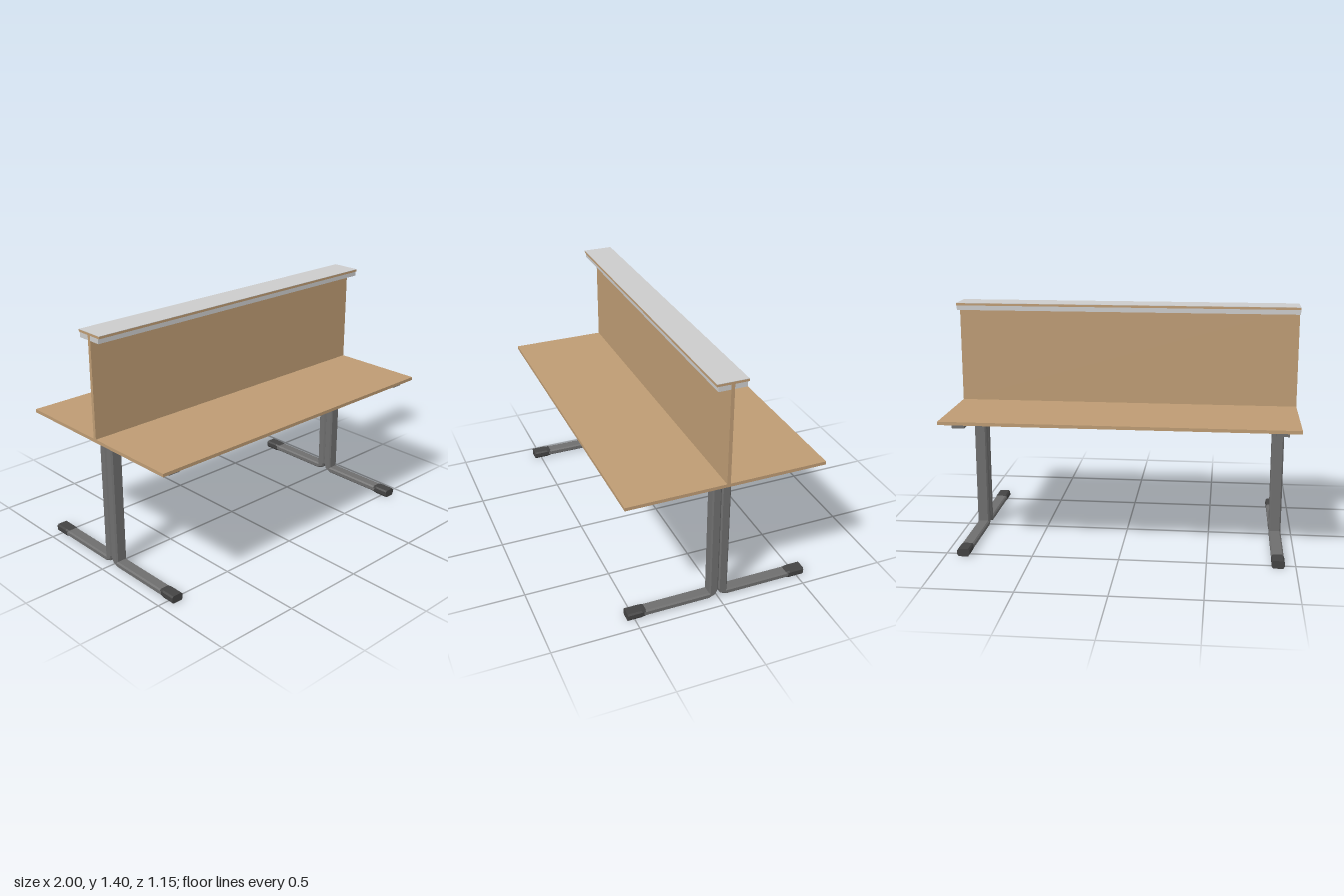
import * as THREE from 'three';

const mat = (color) => new THREE.MeshStandardMaterial({ color, flatShading: true });

export function createModel() {
  const root = new THREE.Group();
  root.name = 'dividedBenchDesk';
  const wood = mat(0xbd9b73), grey = mat(0xcccccc), steel = mat(0x6e6e6e), dark = mat(0x434343);

  const add = (parent, name, geometry, material) => {
    const mesh = new THREE.Mesh(geometry, material);
    mesh.name = name;
    parent.add(mesh);
    return mesh;
  };
  // Box given by its width, y range and z range
  const slab = (parent, name, w, y0, y1, z0, z1, material) => {
    const g = new THREE.BoxGeometry(w, y1 - y0, z1 - z0);
    g.translate(0, (y0 + y1) / 2, (z0 + z1) / 2);
    return add(parent, name, g, material);
  };
  const outline = (pts) => new THREE.Shape(pts.map(([x, y]) => new THREE.Vector2(x, y)));

  // Worktop, upright divider and the shelf on top of it
  slab(root, 'worktop', 2, 0.786, 0.805, -0.575, 0.575, wood);
  slab(root, 'dividerPanel', 2, 0.805, 1.386, -0.01, 0.01, wood);
  slab(root, 'shelfBoard', 2, 1.386, 1.399, -0.088, 0.088, wood);
  slab(root, 'shelfCover', 2, 1.399, 1.401, -0.088, 0.088, grey);
  for (const s of [-1, 1]) {
    slab(root, 'shelfRail', 2, 1.358, 1.386, Math.min(s * 0.01, s * 0.08), Math.max(s * 0.01, s * 0.08), grey);
  }

  // Tube that runs down as a column and bends outward into a foot
  const legWidth = 0.07, bevel = 0.008;
  const legGeometry = new THREE.ExtrudeGeometry(outline([
    [0, 0.76], [0, 0.055], [0.014, 0.022], [0.054, 0.005], [0.5, 0.005],
    [0.5, 0.041], [0.054, 0.041], [0.054, 0.76],
  ]), {
    depth: legWidth - 2 * bevel, bevelEnabled: true, bevelSegments: 1,
    bevelSize: bevel, bevelThickness: bevel, bevelOffset: -bevel,
  });
  legGeometry.translate(0, 0, -(legWidth / 2 - bevel));
  legGeometry.rotateY(-Math.PI / 2);

  // Foot cap with chamfered edges, tapered toward the column
  const h = legWidth / 2 + 0.001;
  const capGeometry = new THREE.ExtrudeGeometry(outline([
    [-h + 0.008, 0], [h - 0.008, 0], [h, 0.012], [h, 0.036],
    [h - 0.008, 0.045], [-h + 0.008, 0.045], [-h, 0.036], [-h, 0.012],
  ]), { depth: 0.112, steps: 4, bevelEnabled: false });
  const p = capGeometry.attributes.position;
  for (let i = 0; i < p.count; i++) {
    if (p.getZ(i) < 0.001) p.setXY(i, p.getX(i) * 0.94, 0.0225 + (p.getY(i) - 0.0225) * 0.8);
  }
  capGeometry.translate(0, 0, 0.429);
  capGeometry.computeVertexNormals();

  // Two leg frames, each of two back-to-back bent tubes and a top bar
  for (const x of [-0.9, 0.893]) {
    const frame = new THREE.Group();
    frame.name = x < 0 ? 'rightLegFrame' : 'leftLegFrame';
    frame.position.x = x;
    slab(frame, 'topBar', legWidth, 0.76, 0.786, -0.54, 0.54, steel);
    for (const turn of [0, Math.PI]) {
      const half = new THREE.Group();
      half.name = turn ? 'backLeg' : 'frontLeg';
      half.rotation.y = turn;
      add(half, 'bentTube', legGeometry, steel);
      add(half, 'footCap', capGeometry, dark);
      frame.add(half);
    }
    root.add(frame);
  }
  return root;
}
